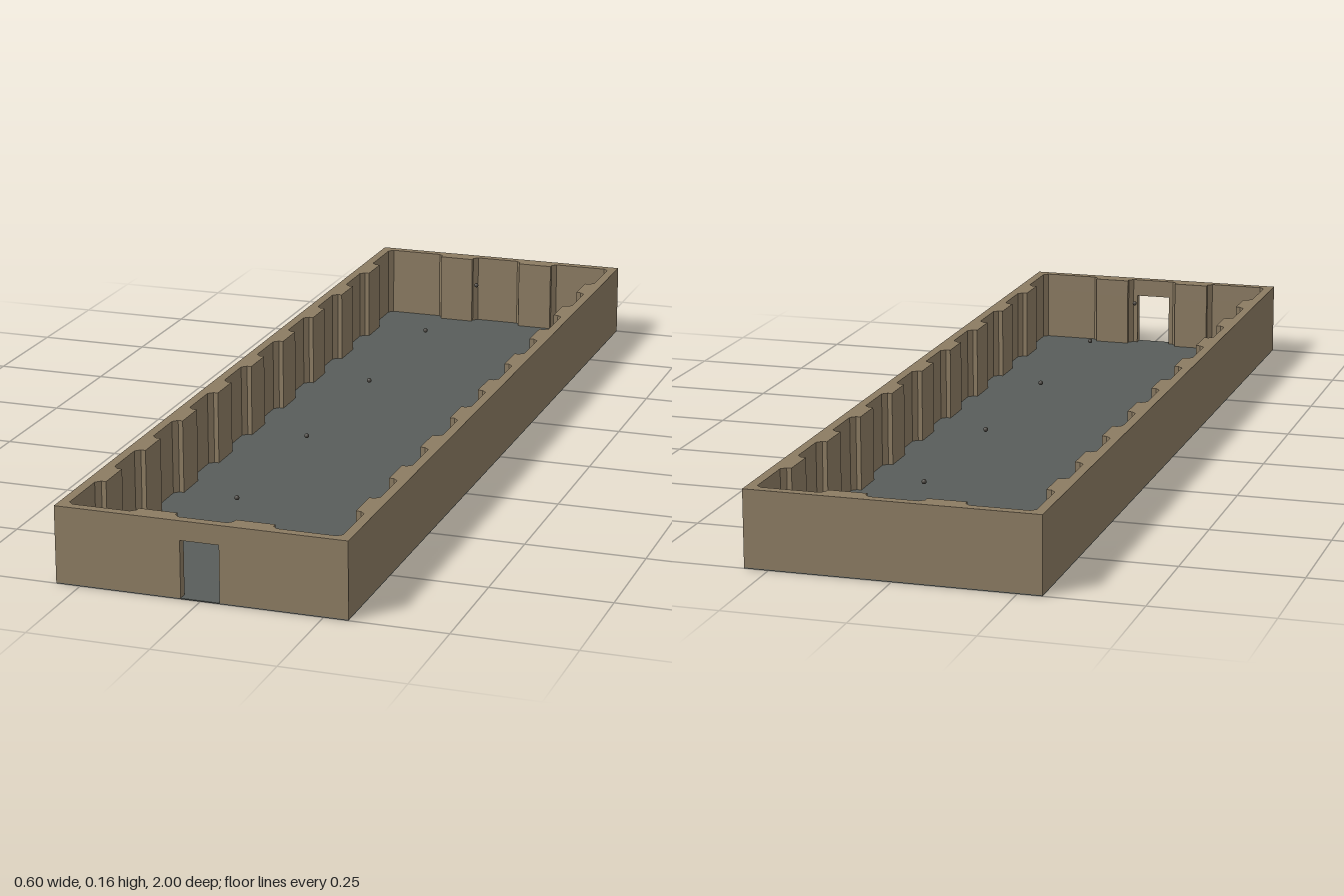
import * as THREE from 'three';

const HALF_W = 0.3, HALF_L = 1;      // outer half sizes
const WALL = 0.02, PIER = 0.04;      // depth of the wall and of the piers, from outside
const BEVEL = 0.01;                  // cut corners of the wall recesses
const FLOOR = 0.002, DOOR_W = 0.04, DOOR_H = 0.12, TOP = 0.16;

// Inner outline of one wall as (along, depth) pairs, stepping round each pier
function wallLine(half, piers, place) {
  const points = [];
  const edges = [-half + WALL, ...piers.flatMap((c) => [c - 0.04, c + 0.04]), half - WALL];
  for (let i = 0; i < edges.length; i += 2) {
    const a = edges[i], b = edges[i + 1];
    if (i > 0) points.push([a, PIER], [a, WALL + BEVEL]);
    points.push([a + BEVEL, WALL], [b - BEVEL, WALL]);
    if (i + 2 < edges.length) points.push([b, WALL + BEVEL], [b, PIER]);
  }
  return points.map(([t, d]) => new THREE.Vector2(...place(t, d)));
}

// Upright extrusion of a plan shape (plan y is -z)
function raise(shape, y0, y1) {
  const geo = new THREE.ExtrudeGeometry(shape, { depth: y1 - y0, bevelEnabled: false });
  geo.rotateX(-Math.PI / 2);
  geo.translate(0, y0, 0);
  return geo;
}

export function createModel() {
  const group = new THREE.Group();
  const stone = new THREE.MeshStandardMaterial({ color: 0x8b7b62 });
  stone.name = 'tan stone';
  const slate = new THREE.MeshStandardMaterial({ color: 0x585d5a });
  slate.name = 'grey floor';
  const metal = new THREE.MeshStandardMaterial({ color: 0x4a4640 });
  metal.name = 'dark lamp';

  const add = (name, geo, mat) => {
    const mesh = new THREE.Mesh(geo, mat);
    mesh.name = name;
    group.add(mesh);
    return mesh;
  };

  // Floor slab
  add('floor', new THREE.BoxGeometry(2 * HALF_W, FLOOR, 2 * HALF_L).translate(0, FLOOR / 2, 0), slate);

  // Plan of the walls: piers every 0.2 on the long sides, two on each end
  const endPiers = [-0.1, 0.1];
  const sidePiers = Array.from({ length: 9 }, (_, i) => -0.8 + i * 0.2);
  const inner = [
    ...wallLine(HALF_W, endPiers, (t, d) => [t, -HALF_L + d]),
    ...wallLine(HALF_L, sidePiers, (t, d) => [HALF_W - d, t]),
    ...wallLine(HALF_W, endPiers, (t, d) => [-t, HALF_L - d]),
    ...wallLine(HALF_L, sidePiers, (t, d) => [-HALF_W + d, -t]),
  ];
  const corners = [[HALF_W, -HALF_L], [HALF_W, HALF_L], [-HALF_W, HALF_L], [-HALF_W, -HALF_L]]
    .map(([x, y]) => new THREE.Vector2(x, y));

  // Lower walls, open at the front doorway (inner points 6 and 7 flank it)
  const jamb = (x, d) => new THREE.Vector2(x, -HALF_L + d);
  const lower = new THREE.Shape([
    jamb(DOOR_W, 0), ...corners, jamb(-DOOR_W, 0), jamb(-DOOR_W, WALL),
    ...inner.slice(0, 7).reverse(), ...inner.slice(7).reverse(),
    jamb(DOOR_W, WALL),
  ]);
  add('lowerWalls', raise(lower, FLOOR, DOOR_H), stone);

  // Upper walls, closed over the doorway
  const upper = new THREE.Shape(corners);
  upper.holes.push(new THREE.Path(inner));
  add('upperWalls', raise(upper, DOOR_H, TOP), stone);

  // Row of small lamps along the middle of the hall
  const lampGeo = new THREE.SphereGeometry(0.005, 10, 8);
  for (let i = -2; i <= 2; i++) {
    add('lamp', lampGeo, metal).position.set(0, 0.143, i * 0.4);
  }
  return group;
}
